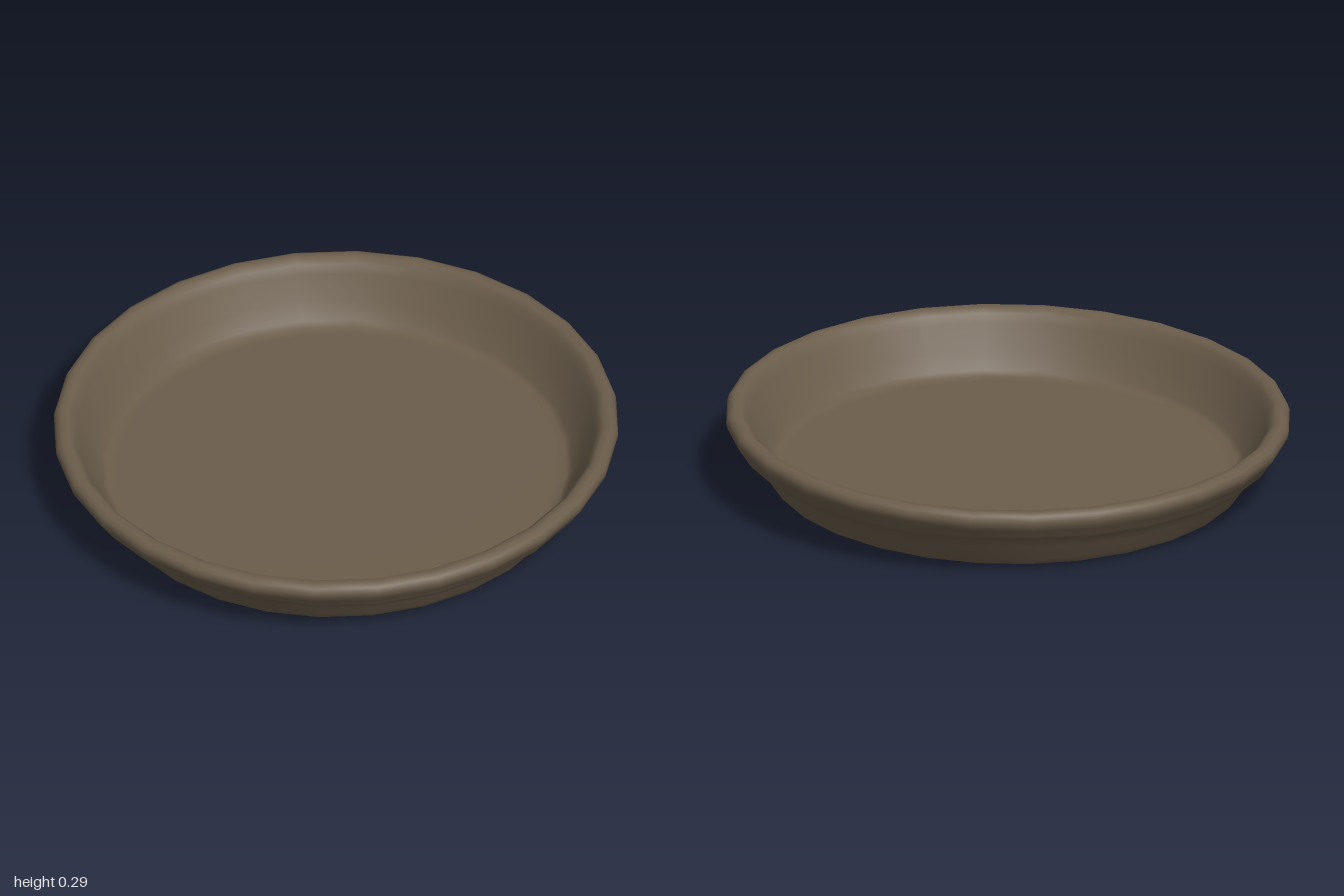
import * as THREE from 'three';
import { mergeVertices } from 'three/addons/utils/BufferGeometryUtils.js';

const SIDES = 28;

// Revolved dish profile: underside, stepped outer wall, rolled rim, inner wall, floor
function dishGeometry() {
  const profile = [
    [0, 0], [0.4, 0], [0.76, 0], [0.81, 0.002], [0.835, 0.014], [0.85, 0.035],
    [0.89, 0.095], [0.918, 0.138], [0.95, 0.147], [0.962, 0.165], [0.978, 0.19],
    [0.995, 0.212], [1, 0.235], [0.993, 0.255], [0.975, 0.265], [0.95, 0.264],
    [0.93, 0.248], [0.915, 0.215], [0.87, 0.13], [0.835, 0.07], [0.815, 0.054],
    [0.78, 0.05], [0.4, 0.05], [0, 0.05],
  ].map(([r, y]) => new THREE.Vector2(r, y));
  let geo = new THREE.LatheGeometry(profile, SIDES);

  // Slight hand-worn unevenness in the walls, strongest around the ledge
  const p = geo.attributes.position;
  for (let i = 0; i < p.count; i++) {
    const x = p.getX(i), y = p.getY(i), z = p.getZ(i);
    const r = Math.hypot(x, z);
    if (r < 0.86 || y > 0.2) continue;
    const a = Math.atan2(z, x);
    const wave = Math.sin(5 * a + 0.6) * 0.6 + Math.sin(9 * a + 2) * 0.4;
    const k = 1 + 0.007 * wave;
    p.setXYZ(i, x * k, y + 0.008 * wave, z * k);
  }
  // Weld the seam so the shading is smooth all round
  geo.deleteAttribute('normal');
  geo.deleteAttribute('uv');
  geo = mergeVertices(geo, 1e-4);
  geo.computeVertexNormals();
  return geo;
}

// Strip with clipped corners, facing down
function stickerGeometry(w, d, c) {
  const x = w / 2, y = d / 2;
  const shape = new THREE.Shape([
    [-x + c, -y], [x - c, -y], [x, -y + c], [x, y - c],
    [x - c, y], [-x + c, y], [-x, y - c], [-x, -y + c],
  ].map(([a, b]) => new THREE.Vector2(a, b)));
  return new THREE.ShapeGeometry(shape).rotateX(Math.PI / 2);
}

export function createModel() {
  const clay = new THREE.MeshStandardMaterial({ color: 0x6b5d4b });
  clay.name = 'brown clay';
  const grey = new THREE.MeshStandardMaterial({ color: 0xb2b2b2 });
  grey.name = 'pale grey';

  const saucer = new THREE.Group();
  saucer.name = 'saucer';

  const dish = new THREE.Mesh(dishGeometry(), clay);
  dish.name = 'dish';
  saucer.add(dish);

  // Plain strip stuck on the underside
  const sticker = new THREE.Mesh(stickerGeometry(0.46, 0.16, 0.03), grey);
  sticker.name = 'undersideSticker';
  sticker.position.set(-0.13, -0.003, 0.32);
  sticker.rotation.y = 0.28;
  saucer.add(sticker);

  // The saucer sits a little askew, higher on its left
  saucer.rotation.set(0.003, 0, 0.014);
  saucer.position.y = 0.014;

  const model = new THREE.Group();
  model.name = 'plantSaucer';
  model.add(saucer);
  return model;
}
